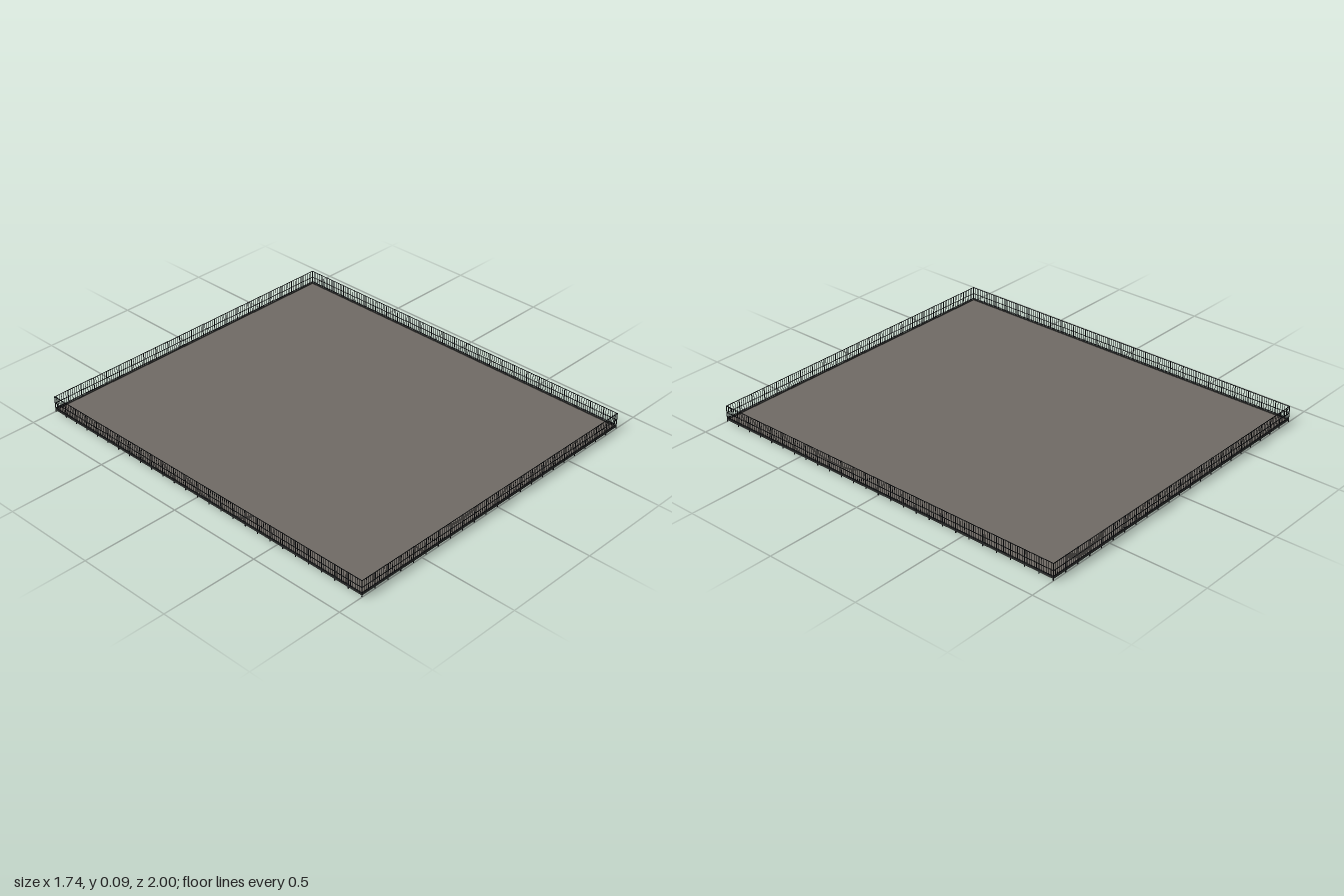
import * as THREE from 'three';
import { mergeGeometries } from 'three/addons/utils/BufferGeometryUtils.js';

const HX = 0.866, HZ = 0.998; // fence centre lines
const TOP = 0.085, CURB = 0.017, BASE = 0.009;

const floorMat = new THREE.MeshStandardMaterial({ color: 0x6f6a64 });
floorMat.name = 'warm grey paving';
const curbMat = new THREE.MeshStandardMaterial({ color: 0x3c3d3c });
curbMat.name = 'dark grey curb';
const metalMat = new THREE.MeshStandardMaterial({ color: 0x23262b });
metalMat.name = 'blackened metal';

function box(w, h, d, x, y, z) {
  return new THREE.BoxGeometry(w, h, d).translate(x, y, z);
}

function addMesh(parent, name, parts, material) {
  const mesh = new THREE.Mesh(mergeGeometries(parts), material);
  mesh.name = name;
  parent.add(mesh);
}

// One straight fence run along local x, outer face towards +z
function createFence(name, length, bays) {
  const fence = new THREE.Group();
  fence.name = name;
  const posts = [], bars = [], rails = [];
  const barsPerBay = 6, count = bays * barsPerBay;
  for (let i = 0; i <= count; i++) {
    const x = -length / 2 + (length * i) / count;
    if (i % barsPerBay === 0) posts.push(box(0.0035, TOP, 0.0035, x, TOP / 2, 0));
    else bars.push(box(0.0018, TOP - CURB, 0.0018, x, (TOP + CURB) / 2, 0));
  }
  for (const y of [TOP - 0.0015, 0.048, 0.021]) {
    rails.push(box(length, 0.0025, 0.0025, 0, y, 0));
  }
  addMesh(fence, 'posts', posts, metalMat);
  addMesh(fence, 'bars', bars, metalMat);
  addMesh(fence, 'rails', rails, metalMat);
  return fence;
}

export function createModel() {
  const model = new THREE.Group();
  model.name = 'fencedYard';

  // Paved slab, raised just above the post feet
  addMesh(model, 'floor', [box(HX * 2 - 0.006, 0.005, HZ * 2 - 0.006, 0, BASE + 0.0025, 0)], floorMat);

  // Low curb framing the slab
  const curbs = [], cw = 0.008, ch = CURB - BASE, cy = (CURB + BASE) / 2;
  for (const s of [-1, 1]) {
    curbs.push(box(HX * 2 + 0.003, ch, cw, 0, cy, s * (HZ - 0.0025)));
    curbs.push(box(cw, ch, HZ * 2 - 0.013, s * (HX - 0.0025), cy, 0));
  }
  addMesh(model, 'curb', curbs, curbMat);

  // Four fence runs
  for (const s of [-1, 1]) {
    const end = createFence(s > 0 ? 'frontFence' : 'backFence', HX * 2, 22);
    end.position.z = s * HZ;
    const side = createFence(s > 0 ? 'leftFence' : 'rightFence', HZ * 2, 26);
    side.rotation.y = Math.PI / 2;
    side.position.x = s * HX;
    model.add(end, side);
  }
  return model;
}
